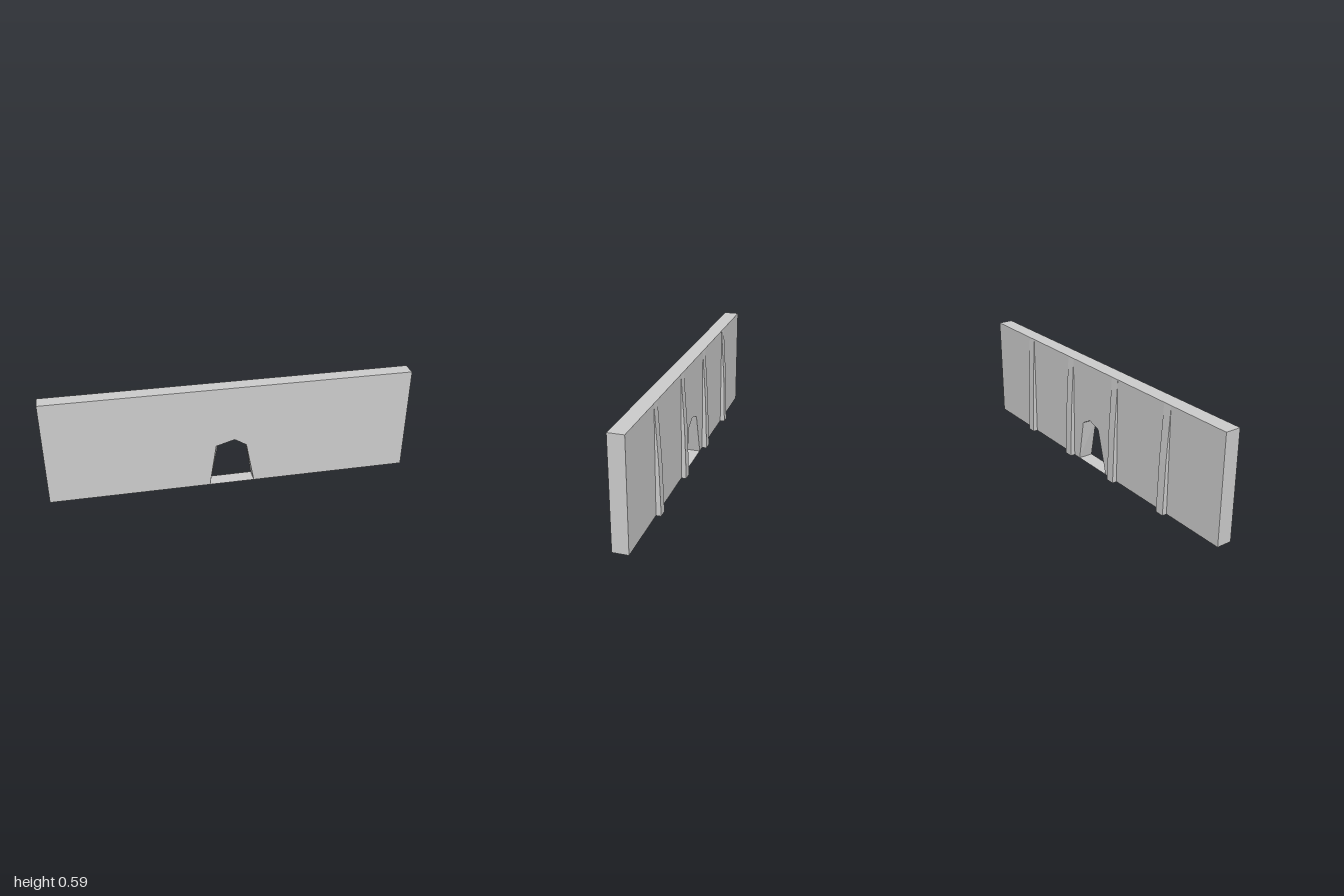
import * as THREE from 'three';

const HEIGHT = 0.588, FRONT = 0.055, BACK = -0.028, FOOT = -0.055;

export function createModel() {
  const group = new THREE.Group();
  const material = new THREE.MeshStandardMaterial({ color: 0xcccccc, flatShading: true });
  const add = (name, geometry, mat = material) => {
    const mesh = new THREE.Mesh(geometry, mat);
    mesh.name = name;
    group.add(mesh);
    return mesh;
  };

  // Wall slab with a rough doorway cut up from the ground
  const outline = [
    [-1, 0], [-0.125, 0], [-0.088, 0.245], [0.015, 0.275], [0.08, 0.235],
    [0.125, 0], [1, 0], [1, HEIGHT], [-1, HEIGHT],
  ].map(([x, y]) => new THREE.Vector2(x, y));
  const wall = new THREE.ExtrudeGeometry(new THREE.Shape(outline), { depth: FRONT - BACK, bevelEnabled: false });
  wall.translate(0, 0, BACK);

  // The doorway's upper corners sit further left at the back face
  const pos = wall.attributes.position;
  for (let i = 0; i < pos.count; i++) {
    if (pos.getZ(i) > 0) continue;
    if (Math.abs(pos.getX(i) + 0.088) < 0.001) pos.setX(i, -0.055);
    if (Math.abs(pos.getX(i) - 0.08) < 0.001) pos.setX(i, 0.086);
  }
  wall.computeVertexNormals();
  add('wall', wall);

  // Thin sill across the foot of the doorway
  const sillMaterial = material.clone();
  sillMaterial.side = THREE.DoubleSide;
  const sill = add('doorSill', new THREE.PlaneGeometry(0.25, FRONT - BACK), sillMaterial);
  sill.rotation.x = -Math.PI / 2;
  sill.position.z = (FRONT + BACK) / 2;

  // Tapering buttresses on the back: profile drawn in (-z, y), extruded along x
  const profile = [[-BACK, 0], [-FOOT, 0], [0.046, 0.29], [-BACK, 0.583]];
  const shape = new THREE.Shape(profile.map(([x, y]) => new THREE.Vector2(x, y)));
  const width = 0.05;
  const buttress = new THREE.ExtrudeGeometry(shape, { depth: width, bevelEnabled: false });
  buttress.translate(0, 0, -width / 2).rotateY(Math.PI / 2);
  for (const x of [-0.612, -0.2, 0.2, 0.612]) add('buttress', buttress).position.x = x;

  return group;
}
